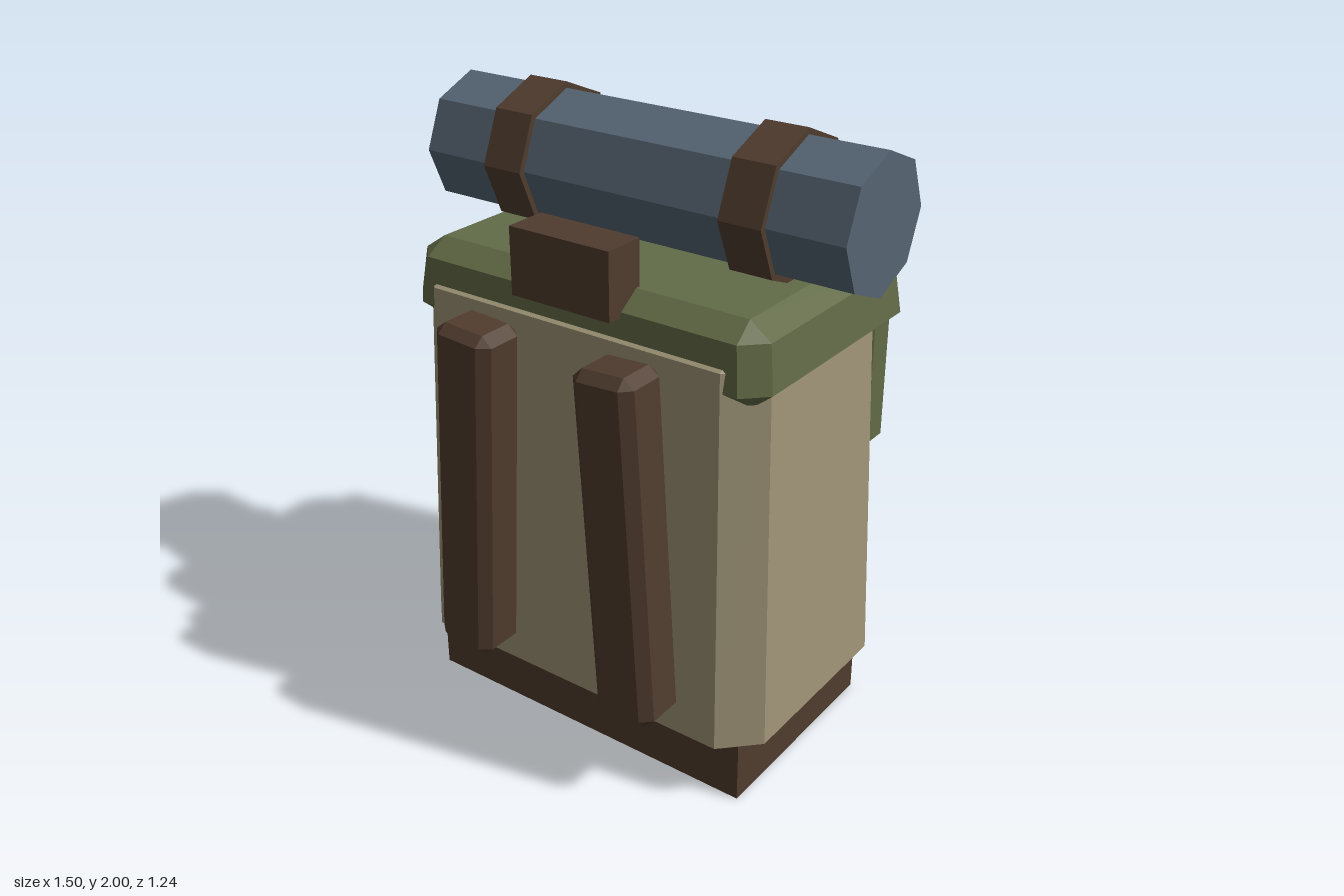
import * as THREE from 'three';
import { ConvexGeometry } from 'three/addons/geometries/ConvexGeometry.js';

const paint = (name, color) => {
  const m = new THREE.MeshStandardMaterial({ color, flatShading: true });
  m.name = name;
  return m;
};

// Box with one flat bevel on every edge, narrowing towards the top.
// size and bevel are [x, y, z]; taper is the [x, z] scale at the top.
function bevelBox(size, bevel, taper = [1, 1]) {
  const [hx, hy, hz] = size.map((s) => s / 2);
  const [bx, by, bz] = bevel;
  const points = [];
  for (const sx of [-1, 1]) for (const sy of [-1, 1]) for (const sz of [-1, 1]) {
    for (const [x, y, z] of [
      [hx, hy - by, hz - bz],
      [hx - bx, hy, hz - bz],
      [hx - bx, hy - by, hz],
    ]) {
      const t = (sy * y + hy) / (2 * hy);
      points.push(new THREE.Vector3(
        sx * x * (1 + (taper[0] - 1) * t),
        sy * y,
        sz * z * (1 + (taper[1] - 1) * t),
      ));
    }
  }
  return new ConvexGeometry(points);
}

export function createModel() {
  const tan = paint('tan canvas', 0xa09678);
  const green = paint('green canvas', 0x626b47);
  const brown = paint('brown leather', 0x503c2e);
  const blue = paint('blue cloth', 0x566573);

  const group = new THREE.Group();
  group.name = 'backpack';
  const add = (name, geometry, material, x, y, z) => {
    const mesh = new THREE.Mesh(geometry, material);
    mesh.name = name;
    mesh.position.set(x, y, z);
    group.add(mesh);
    return mesh;
  };

  // Main bag
  add('base', new THREE.BoxGeometry(1.21, 0.2, 0.71), brown, 0, 0.1, 0.055);
  add('body', bevelBox([1.344, 1.35, 0.844], [0.11, 0.065, 0.11], [0.93, 0.89]), tan, 0, 0.825, 0.055);
  add('topFlap', bevelBox([1.31, 0.245, 0.876], [0.07, 0.05, 0.07], [0.95, 0.93]), green, 0, 1.4475, -0.002);
  add('handle', new THREE.BoxGeometry(0.355, 0.21, 0.14), brown, 0, 1.61, 0.395);

  // Shoulder straps, leaning together at the top
  for (const side of [-1, 1]) {
    const strap = add('shoulderStrap', bevelBox([0.212, 1.13, 0.172], [0.035, 0.03, 0.03]), brown, side * 0.287, 0.86, 0.539);
    strap.rotation.z = side * 0.06;
  }

  // Back pockets and buckle
  add('upperPocket', bevelBox([1.13, 0.64, 0.16], [0.035, 0.035, 0.035]), green, 0, 1.18, -0.416);
  add('lowerPocket', bevelBox([0.89, 0.64, 0.274], [0.05, 0.045, 0.05], [0.97, 0.84]), green, 0, 0.575, -0.483);
  add('buckle', new THREE.BoxGeometry(0.18, 0.11, 0.1), blue, 0, 0.91, -0.52);

  // Eight-sided bedroll and its straps
  const roll = (name, radius, length, material, x) => {
    const mesh = add(name, new THREE.CylinderGeometry(radius, radius, length, 8), material, x, 1.768, -0.022);
    mesh.rotation.z = Math.PI / 2;
  };
  roll('bedroll', 0.212, 1.5, blue, 0);
  for (const side of [-1, 1]) roll('bedrollStrap', 0.232, 0.142, brown, side * 0.428);

  return group;
}
